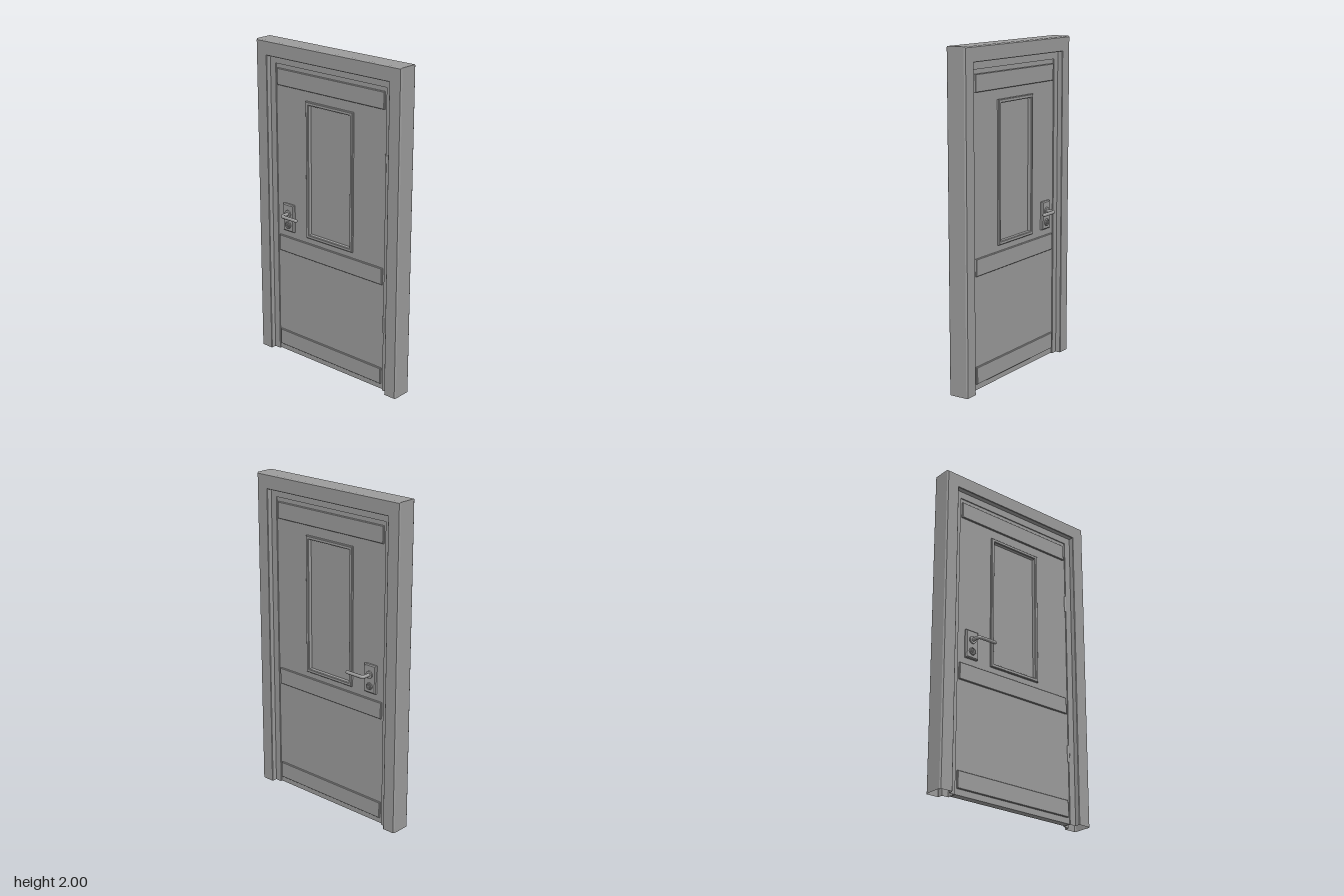
import * as THREE from 'three';

const material = new THREE.MeshStandardMaterial({ color: 0x9c9c9c });
const openMaterial = new THREE.MeshStandardMaterial({ color: 0x9c9c9c, side: THREE.DoubleSide });

function add(parent, name, geometry, x = 0, y = 0, z = 0, mat = material) {
  const mesh = new THREE.Mesh(geometry, mat);
  mesh.name = name;
  mesh.position.set(x, y, z);
  parent.add(mesh);
}

// Rectangle outline, centred on x, from y0 to y1
function outline(Type, halfWidth, y0, y1) {
  return new Type([
    new THREE.Vector2(-halfWidth, y0), new THREE.Vector2(halfWidth, y0),
    new THREE.Vector2(halfWidth, y1), new THREE.Vector2(-halfWidth, y1),
  ]);
}

// Slab centred on z = 0 with a small chamfer on both faces
function slab(shape, halfDepth, bevel = 0) {
  const depth = 2 * (halfDepth - bevel);
  const g = new THREE.ExtrudeGeometry(shape, {
    depth, bevelEnabled: bevel > 0, bevelThickness: bevel, bevelSize: bevel,
    bevelOffset: -bevel, bevelSegments: 1,
  });
  return g.translate(0, 0, -depth / 2);
}

// Sweep a stepped hollow cross-section up, over and down the doorway with mitred
// corners; each point is [inset at the sides, inset at the top, z], feet left open
function frameGeometry(halfWidth, height) {
  const half = [
    [0, 0, 0.054], [0.006, 0.006, 0.063], [0.081, 0.087, 0.063],
    [0.084, 0.09, 0.06], [0.084, 0.09, 0.03], [0.126, 0.134, 0.03],
  ];
  const profile = [...half, ...half.map(([d, t, z]) => [d, t, -z]).reverse()];
  const station = ([d, t, z], k) => [
    (k < 2 ? -1 : 1) * (halfWidth - d), k === 0 || k === 3 ? 0 : height - t, z,
  ];
  const pos = [];
  profile.forEach((p, i) => {
    const q = profile[(i + 1) % profile.length];
    for (let k = 0; k < 3; k++) {
      const a = station(p, k), b = station(q, k), c = station(q, k + 1), d = station(p, k + 1);
      pos.push(...a, ...c, ...b, ...a, ...d, ...c);
    }
  });
  const g = new THREE.BufferGeometry();
  g.setAttribute('position', new THREE.Float32BufferAttribute(pos, 3));
  g.computeVertexNormals();
  return g;
}

// Disc facing along z
function disc(radius, depth) {
  return new THREE.CylinderGeometry(radius, radius, depth, 24).rotateX(Math.PI / 2);
}

// Plate, lever and key cylinder for one face of the door; s is +1 front, -1 back
function handleSet(s, face) {
  const g = new THREE.Group();
  g.name = s > 0 ? 'frontHandle' : 'backHandle';
  const x = -0.327, leverY = 0.945, keyY = 0.873, plateTop = face + 0.018;

  const plate = outline(THREE.Shape, 0.043, 0.83, 1.005);
  add(g, 'handlePlate', slab(plate, 0.018, 0.006), x, 0, s * face);
  add(g, 'leverRose', disc(0.023, 0.016), x, leverY, s * plateTop);
  add(g, 'keyRose', disc(0.023, 0.01), x, keyY, s * plateTop);
  add(g, 'keyRing', new THREE.TorusGeometry(0.018, 0.004, 8, 24), x, keyY, s * (plateTop + 0.005));
  add(g, 'keyCylinder', disc(0.011, 0.02), x, keyY, s * plateTop);
  add(g, 'keySlot', new THREE.BoxGeometry(0.003, 0.012, 0.002), x, keyY, s * (plateTop + 0.0105));

  // Lever rod with a rounded elbow
  const r = 0.0105, z = 0.11 - r, bend = 0.022, tip = -0.208;
  const v = (px, pz) => new THREE.Vector3(px, leverY, s * pz);
  const path = new THREE.CurvePath();
  path.add(new THREE.LineCurve3(v(x, face), v(x, z - bend)));
  path.add(new THREE.QuadraticBezierCurve3(v(x, z - bend), v(x, z), v(x + bend, z)));
  path.add(new THREE.LineCurve3(v(x + bend, z), v(tip, z)));
  add(g, 'lever', new THREE.TubeGeometry(path, 48, r, 14));
  add(g, 'leverTip', new THREE.SphereGeometry(r, 14, 10), tip, leverY, s * z);
  return g;
}

export function createModel() {
  const model = new THREE.Group();
  model.name = 'door';
  const face = 0.023;

  add(model, 'doorFrame', frameGeometry(0.549, 2), 0, 0, 0, openMaterial);

  // Door leaf with a window opening
  const leaf = new THREE.Group();
  leaf.name = 'doorLeaf';
  model.add(leaf);
  const leafShape = outline(THREE.Shape, 0.424, 0.004, 1.868);
  leafShape.holes.push(outline(THREE.Path, 0.17, 0.84, 1.67));
  add(leaf, 'leafPanel', slab(leafShape, face));

  // Raised cross panels showing on both faces
  for (const [name, y0, y1] of [['bottomPanel', 0.04, 0.143], ['middlePanel', 0.685, 0.788], ['topPanel', 1.738, 1.84]]) {
    add(leaf, name, slab(outline(THREE.Shape, 0.409, y0, y1), face + 0.011, 0.003));
  }

  // Window moulding and pane
  const moulding = outline(THREE.Shape, 0.182, 0.825, 1.678);
  moulding.holes.push(outline(THREE.Path, 0.161, 0.847, 1.656));
  add(leaf, 'windowMoulding', slab(moulding, face + 0.013, 0.004));
  add(leaf, 'windowPane', new THREE.BoxGeometry(0.34, 0.83, 0.02), 0, 1.253, 0);

  // Hinge barrels
  for (const y of [0.435, 1.43]) {
    add(model, 'hinge', new THREE.CylinderGeometry(0.008, 0.008, 0.104, 16), 0.424, y, face + 0.002);
  }

  model.add(handleSet(1, face), handleSet(-1, face));
  return model;
}
